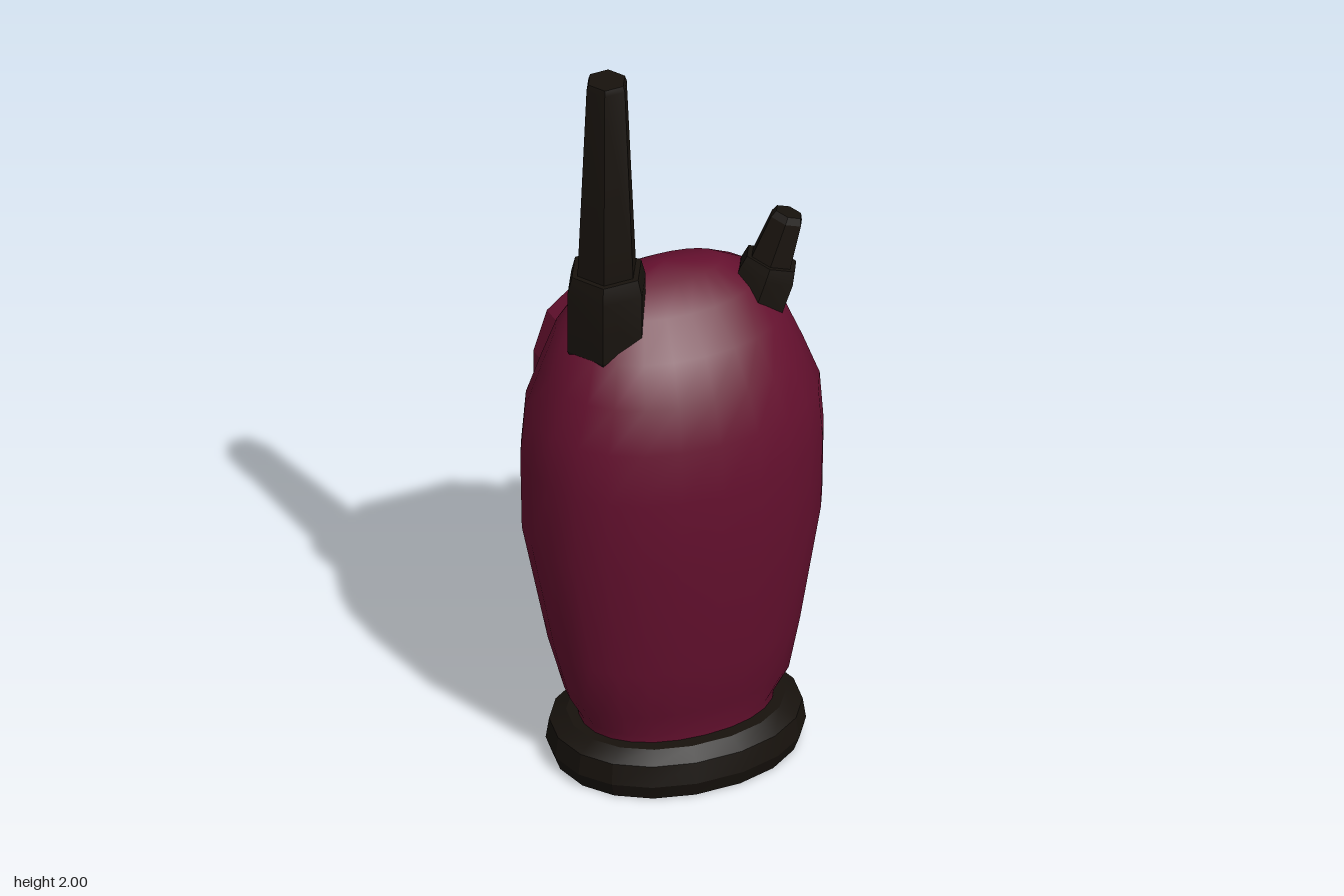
import * as THREE from 'three';
import { toCreasedNormals } from 'three/addons/utils/BufferGeometryUtils.js';

const maroon = new THREE.MeshStandardMaterial({ color: 0x64102e });
const black = new THREE.MeshStandardMaterial({ color: 0x17120d });
const blue = new THREE.MeshStandardMaterial({ color: 0x1f5f9a });

// Skin a stack of closed rings and close both ends with fans
function loft(rings, crease, endCentre) {
  const n = rings[0].length, pos = [], idx = [];
  rings.forEach(r => r.forEach(p => pos.push(...p)));
  const centre = r => [0, 1, 2].map(k => r.reduce((s, p) => s + p[k], 0) / n);
  const last = (rings.length - 1) * n, c0 = rings.length * n;
  pos.push(...centre(rings[0]), ...(endCentre || centre(rings[rings.length - 1])));
  for (let j = 0; j < n; j++) {
    const k = (j + 1) % n;
    for (let i = 0; i < last; i += n) {
      idx.push(i + j, i + n + j, i + k, i + k, i + n + j, i + n + k);
    }
    idx.push(c0, j, k, c0 + 1, last + k, last + j);
  }
  const g = new THREE.BufferGeometry();
  g.setAttribute('position', new THREE.Float32BufferAttribute(pos, 3));
  g.setIndex(idx);
  return toCreasedNormals(g, crease);
}

// Slanted plane on the back that carries the panel
const backPlane = y => -0.23 + 0.119 * Math.max(0, 0.86 - y);

// Horizontal oval ring, flattened where it meets the back plane
function oval([y, hx, zFront, zBack], sides, flatten) {
  const c = (zFront + zBack) / 2, hz = (zFront - zBack) / 2;
  return Array.from({ length: sides }, (_, j) => {
    const t = j / sides * Math.PI * 2, s = Math.sin(t), q = Math.cos(t);
    const e = v => Math.sign(v) * Math.abs(v) ** 0.94;
    const z = c + hz * e(s);
    return [hx * e(q), y, flatten ? Math.max(z, backPlane(y)) : z];
  });
}

// Right half of the panel outline, bottom to top
const half = [[0.12, 0.23], [0.195, 0.27], [0.225, 0.38], [0.255, 0.62], [0.262, 0.86],
  [0.262, 1.06], [0.225, 1.17], [0.14, 1.235]];
const mirror = pts => [...pts, ...pts.map(([x, y]) => [-x, y]).reverse()];
const inset = (pts, d) => pts.map(([x, y]) =>
  [x * (1 - d / 0.262), 0.86 + (y - 0.86) * (1 - d / (y > 0.86 ? 0.375 : 0.63))]);
const lift = (pts, off) => pts.map(([x, y]) => [x, y, backPlane(y) - off]);

// Six-sided turned part
function hexPart(name, profile) {
  const pts = profile.map(([r, y]) => new THREE.Vector2(r, y));
  const g = new THREE.LatheGeometry(pts, 6, Math.PI / 6);
  const mesh = new THREE.Mesh(toCreasedNormals(g, 0.3), black);
  mesh.name = name;
  return mesh;
}

export function createModel() {
  const model = new THREE.Group();
  model.name = 'handheldRadio';
  const add = (name, geometry, material) => {
    const mesh = new THREE.Mesh(geometry, material);
    mesh.name = name;
    model.add(mesh);
  };

  // Body: height, half width, front z, back z
  const sections = [
    [0.10, 0.25, 0.20, -0.15], [0.14, 0.255, 0.20, -0.15], [0.21, 0.295, 0.222, -0.155],
    [0.35, 0.327, 0.25, -0.22], [0.67, 0.385, 0.29, -0.29], [0.88, 0.388, 0.30, -0.30],
    [1.02, 0.378, 0.287, -0.285], [1.13, 0.337, 0.25, -0.255], [1.23, 0.297, 0.195, -0.22],
    [1.31, 0.235, 0.115, -0.17], [1.36, 0.15, 0.035, -0.10]];
  add('body', loft(sections.map(s => oval(s, 24, true)), 0.9, [0, 1.375, -0.045]), maroon);

  // Foot
  const foot = [[0, 0.315, 0.272, -0.232], [0.04, 0.33, 0.285, -0.24],
    [0.095, 0.322, 0.275, -0.23], [0.12, 0.28, 0.235, -0.19]];
  add('foot', loft(foot.map(s => oval(s, 18, false)), 0.35), black);

  // Raised frame on the back with a shallow recess
  const outline = mirror(half);
  const layers = [[0, -0.10], [0, 0.02], [0.025, 0.05], [0.062, 0.05], [0.068, 0.036]];
  add('panelFrame', loft(layers.map(([d, off]) => lift(inset(outline, d), off)), 0.3,
    [0, 0.86, backPlane(0.86) - 0.036]), maroon);

  // Screen in the upper part of the recess
  const screen = mirror(inset(half.slice(4), 0.069));
  add('screen', loft([lift(screen, 0.03), lift(screen, 0.041)], 0.3), blue);

  // Bulging cover in the lower part of the recess
  const cover = mirror(inset(half.slice(0, 5), 0.069));
  const dome = k => cover.map(([x, y]) => {
    const px = x * k, py = 0.57 + (y - 0.57) * k;
    const rise = 0.042 + 0.026 * (py - 0.3) / 0.5 + 0.012 * (1 - (px / 0.19) ** 2);
    return [px, py, backPlane(py) - rise];
  });
  add('lowerCover', loft([lift(cover, 0.03), lift(cover, 0.042), dome(0.9), dome(0.5)], 0.45), maroon);

  // Antenna
  const antenna = hexPart('antenna', [[0, 1.19], [0.09, 1.19], [0.107, 1.23], [0.107, 1.4],
    [0.095, 1.445], [0.08, 1.445], [0.055, 1.985], [0.05, 2], [0, 2]]);
  antenna.position.set(-0.192, 0, 0.028);
  model.add(antenna);

  // Tilted knob
  const knob = hexPart('knob', [[0, -0.02], [0.078, -0.02], [0.08, 0.1], [0.072, 0.135],
    [0.058, 0.135], [0.045, 0.25], [0.036, 0.268], [0, 0.268]]);
  knob.position.set(0.212, 1.225, 0.028);
  knob.rotation.z = -0.36;
  model.add(knob);

  return model;
}
